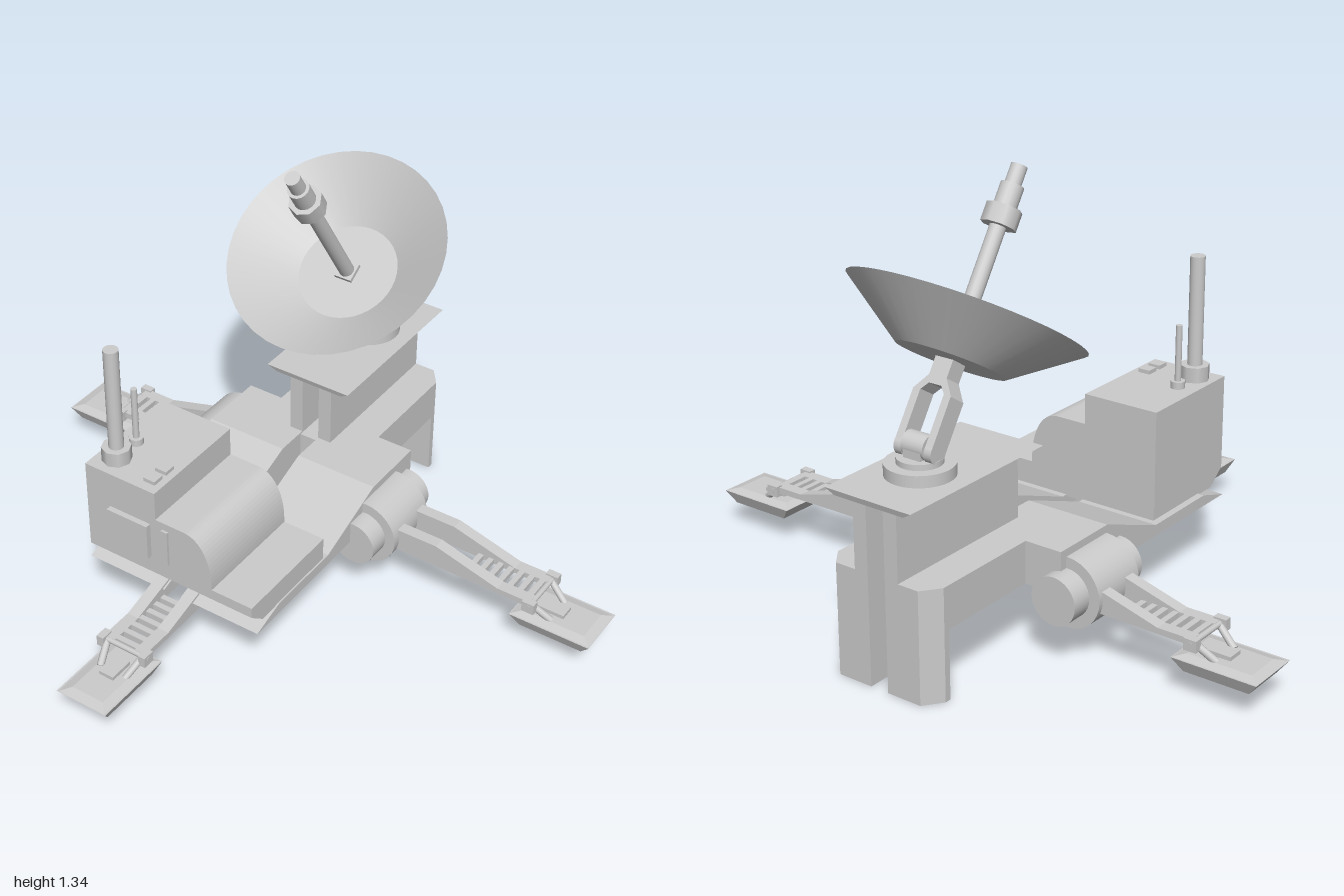
import * as THREE from 'three';

const MAT = new THREE.MeshStandardMaterial({ color: 0xcccccc, side: THREE.DoubleSide });
const CX = -0.08; // centre line of the vehicle body

function add(parent, name, geo, x = 0, y = 0, z = 0) {
  const m = new THREE.Mesh(geo, MAT);
  m.name = name;
  m.position.set(x, y, z);
  parent.add(m);
  return m;
}

// box from min/max extents
function slab(parent, name, x0, x1, y0, y1, z0, z1) {
  return add(parent, name, new THREE.BoxGeometry(x1 - x0, y1 - y0, z1 - z0),
    (x0 + x1) / 2, (y0 + y1) / 2, (z0 + z1) / 2);
}

function cyl(parent, name, r, y0, y1, x, z, seg = 24, rTop = r) {
  return add(parent, name, new THREE.CylinderGeometry(rTop, r, y1 - y0, seg), x, (y0 + y1) / 2, z);
}

function extrude(shape, depth) {
  return new THREE.ExtrudeGeometry(shape, { depth, bevelEnabled: false, curveSegments: 16 });
}

const poly = pts => new THREE.Shape(pts.map(p => new THREE.Vector2(...p)));

// (z, y) profile extruded across x0..x1
function sideProfile(parent, name, pts, x0, x1) {
  return add(parent, name, extrude(poly(pts), x1 - x0).rotateY(-Math.PI / 2), x1);
}

// box whose bottom is narrower than its top
function frustum(w, h, d, sx, sz) {
  const g = new THREE.BoxGeometry(w, h, d).toNonIndexed();
  const p = g.attributes.position;
  for (let i = 0; i < p.count; i++) {
    if (p.getY(i) < 0) p.setXYZ(i, p.getX(i) * sx, p.getY(i), p.getZ(i) * sz);
  }
  g.computeVertexNormals();
  return g;
}

function rod(parent, name, a, b, r) {
  const va = new THREE.Vector3(...a), vb = new THREE.Vector3(...b);
  const d = vb.clone().sub(va);
  const m = add(parent, name, new THREE.CylinderGeometry(r, r, d.length(), 10));
  m.position.copy(va).add(vb).multiplyScalar(0.5);
  m.quaternion.setFromUnitVectors(new THREE.Vector3(0, 1, 0), d.normalize());
}

// outrigger leg reaching along local +x
function makeLeg(name) {
  const g = new THREE.Group();
  g.name = name;
  const rail = poly([[0.3, 0.17], [0.55, 0.168], [0.79, 0.165], [0.79, 0.185],
    [0.68, 0.185], [0.465, 0.245], [0.3, 0.245]]);
  for (const s of [-1, 1]) {
    add(g, 'legRail', extrude(rail, 0.038), 0, 0, s * 0.055 - 0.019);
    rod(g, 'ankleStrut', [0.785, 0.175, s * 0.065], [0.85, 0.125, s * 0.045], 0.011);
    slab(g, 'ankleLug', 0.77, 0.81, 0.155, 0.19, s * 0.075 - 0.012, s * 0.075 + 0.012);
  }
  for (let i = 0; i < 7; i++) {
    const x = 0.555 + i * 0.035;
    slab(g, 'legRung', x, x + 0.018, 0.167, 0.185, -0.037, 0.037);
  }
  rod(g, 'anklePin', [0.79, 0.175, -0.088], [0.79, 0.175, 0.088], 0.009);
  add(g, 'footPad', frustum(0.265, 0.04, 0.176, 0.77, 0.8), 0.864, 0.1, 0);
  add(g, 'footPadTop', frustum(0.2, 0.008, 0.11, 1.3, 1.5), 0.864, 0.124, 0);
  slab(g, 'footHinge', 0.8, 0.88, 0.12, 0.14, -0.025, 0.025);
  return g;
}

function makeChassis() {
  const g = new THREE.Group();
  g.name = 'chassis';
  const hull = [[0.42, 0.21], [0.31, 0.245], [0.05, 0.245], [-0.2, 0.34], [-0.42, 0.34], [-0.42, 0.21]];
  const tail = [[-0.4, 0.21], [-0.4, 0.34], [-0.77, 0.34], [-0.77, 0.21]];
  for (const s of [-1, 1]) {
    const half = (name, pts, a, b) => sideProfile(g, name, pts,
      CX - 0.005 + Math.min(s * a, s * b), CX - 0.005 + Math.max(s * a, s * b));
    half('hullSide', hull, 0.03, 0.305);
    half('rearFrame', tail, 0.03, 0.185);
    half('pedestalWall', [[-0.31, 0.3], [-0.31, 0.552], [-0.83, 0.552], [-0.83, 0.3]], 0.03, 0.075);
    // rear support column with a cut outer corner
    const c = CX - 0.005;
    const col = poly([[c + s * 0.03, 0.755], [c + s * 0.185, 0.755], [c + s * 0.185, 0.775],
      [c + s * 0.143, 0.83], [c + s * 0.03, 0.83]]);
    add(g, 'rearColumn', extrude(col, 0.34).rotateX(-Math.PI / 2));
  }
  slab(g, 'hullBridge', -0.116, -0.054, 0.245, 0.335, -0.42, -0.3);
  add(g, 'platform', frustum(0.295, 0.018, 0.57, 0.8, 0.98), -0.0825, 0.559, -0.57);
  return g;
}

function makeCabin() {
  const g = new THREE.Group();
  g.name = 'cabin';
  // tall block with a rounded lower bay beside it
  const s = new THREE.Shape();
  s.moveTo(-0.37, 0.285);
  s.lineTo(0.075, 0.285);
  s.lineTo(0.075, 0.33);
  s.bezierCurveTo(0.075, 0.42, 0.04, 0.49, -0.02, 0.49);
  s.lineTo(-0.12, 0.49);
  s.lineTo(-0.12, 0.585);
  s.lineTo(-0.37, 0.585);
  add(g, 'cabinBody', extrude(s, 0.37), 0, 0, 0.07);
  sideProfile(g, 'cabinBase', [[0.07, 0.24], [0.385, 0.24], [0.44, 0.285], [0.44, 0.32], [0.07, 0.32]], -0.368, 0.215);
  slab(g, 'frontPanel', -0.285, -0.14, 0.345, 0.465, 0.43, 0.458);
  slab(g, 'frontSlat', -0.097, -0.075, 0.345, 0.465, 0.43, 0.448);
  for (const z of [0.335, 0.39]) slab(g, 'roofHatch', -0.182, -0.142, 0.58, 0.597, z - 0.019, z + 0.019);
  cyl(g, 'mastBase', 0.045, 0.585, 0.632, -0.308, 0.37, 8);
  cyl(g, 'mast', 0.023, 0.63, 0.97, -0.308, 0.37, 16);
  cyl(g, 'aerialBase', 0.022, 0.585, 0.607, -0.308, 0.278, 12);
  cyl(g, 'aerial', 0.01, 0.6, 0.78, -0.308, 0.278, 10);
  return g;
}

function makeDish() {
  const g = new THREE.Group();
  g.name = 'dishAssembly';
  cyl(g, 'turntable', 0.1, 0.566, 0.603, CX, -0.635, 32);
  cyl(g, 'turntableTop', 0.066, 0.603, 0.62, CX, -0.635, 32);
  slab(g, 'pivotBlock', CX - 0.03, CX + 0.03, 0.61, 0.65, -0.67, -0.6);
  add(g, 'pivot', new THREE.CylinderGeometry(0.036, 0.036, 0.075, 20).rotateZ(Math.PI / 2), CX, 0.65, -0.635);

  // everything on the tilted boom, local +y along its axis
  const boom = new THREE.Group();
  boom.name = 'boom';
  boom.position.set(CX, 0.642, -0.635);
  boom.rotation.x = Math.atan2(0.545, 0.838);
  g.add(boom);
  for (const s of [-1, 1]) {
    const x = s * 0.052;
    slab(boom, 'yokeArm', x - 0.012, x + 0.012, 0, 0.15, -0.032, 0.032);
    add(boom, 'yokeEnd', new THREE.CylinderGeometry(0.033, 0.033, 0.024, 16).rotateZ(Math.PI / 2), x, 0, 0);
    const taper = poly([[s * 0.064, 0.15], [s * 0.04, 0.15], [s * 0.01, 0.185], [s * 0.03, 0.195]]);
    add(boom, 'yokeTaper', extrude(taper, 0.06), 0, 0, -0.03);
  }
  slab(boom, 'yokeNeck', -0.03, 0.03, 0.172, 0.26, -0.03, 0.03);
  add(boom, 'dishBowl', new THREE.CylinderGeometry(0.346, 0.158, 0.135, 40, 1, true), 0, 0.315, 0);
  add(boom, 'dishFloor', new THREE.CircleGeometry(0.158, 40).rotateX(-Math.PI / 2), 0, 0.2475, 0);
  cyl(boom, 'feedRod', 0.024, 0.24, 0.72, 0, 0, 16);
  cyl(boom, 'feedCollar', 0.052, 0.635, 0.69, 0, 0, 8);
  cyl(boom, 'feedNeck', 0.034, 0.69, 0.755, 0, 0, 16);
  cyl(boom, 'feedTip', 0.024, 0.75, 0.812, 0, 0, 16);
  return g;
}

export function createModel() {
  const model = new THREE.Group();
  model.name = 'dishVehicle';
  model.add(makeChassis(), makeCabin(), makeDish());

  // hip drums beside the hull
  for (const [x, z] of [[0.23, -0.235], [-0.395, -0.3]]) {
    const drum = (name, r, len) =>
      add(model, name, new THREE.CylinderGeometry(r, r, len, 32).rotateX(Math.PI / 2), x, 0.21, z);
    drum('hipDrum', 0.107, 0.19);
    drum('hipAxle', 0.073, 0.325);
  }

  // two side legs and one front leg
  const left = makeLeg('leftLeg');
  left.position.z = -0.24;
  const right = makeLeg('rightLeg');
  right.rotation.y = Math.PI;
  right.position.z = -0.305;
  const front = makeLeg('frontLeg');
  front.rotation.y = -Math.PI / 2;
  front.position.set(-0.085, 0, -0.14);
  model.add(left, right, front);
  return model;
}
